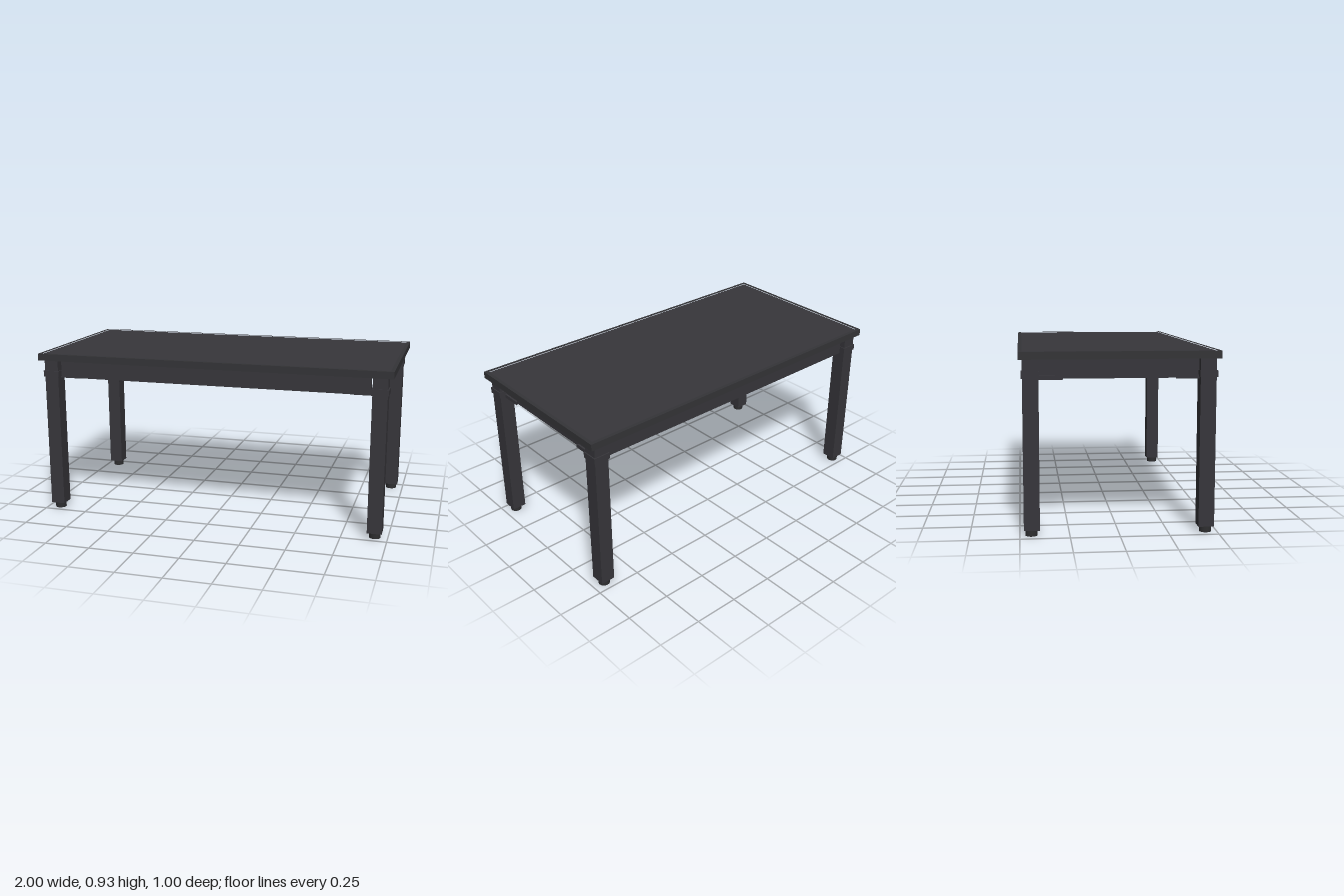
import * as THREE from 'three';

export function createModel() {
  const table = new THREE.Group();
  table.name = 'table';
  const charcoal = new THREE.MeshStandardMaterial({ color: 0x37363b });
  charcoal.name = 'charcoal';
  const edging = new THREE.MeshStandardMaterial({ color: 0x343437 });
  edging.name = 'dark edging';
  const rubber = new THREE.MeshStandardMaterial({ color: 0x2e2e30 });
  rubber.name = 'dark rubber';

  const add = (name, geometry, material, parent = table) => {
    const mesh = new THREE.Mesh(geometry, material);
    mesh.name = name;
    parent.add(mesh);
    return mesh;
  };
  // Box given by its limits on each axis
  const box = (name, [x0, x1], [y0, y1], [z0, z1], material = charcoal, parent = table) =>
    add(name, new THREE.BoxGeometry(x1 - x0, y1 - y0, z1 - z0), material, parent)
      .position.set((x0 + x1) / 2, (y0 + y1) / 2, (z0 + z1) / 2);
  // Flat horizontal plate from an outline in x and z
  const plate = (name, outline, y, height, material, hole, parent = table) => {
    const shape = new THREE.Shape(outline.map(([x, z]) => new THREE.Vector2(x, -z)));
    if (hole) shape.holes.push(new THREE.Path(hole.map(([x, z]) => new THREE.Vector2(x, -z))));
    const geometry = new THREE.ExtrudeGeometry(shape, { depth: height, bevelEnabled: false });
    geometry.rotateX(-Math.PI / 2).translate(0, y, 0);
    return add(name, geometry, material, parent);
  };
  const rectangle = (x, z) => [[-x, -z], [x, -z], [x, z], [-x, z]];

  // Table top: panel inside a narrow edge frame
  box('topPanel', [-0.98, 0.98], [0.887, 0.922], [-0.48, 0.48]);
  plate('topEdging', rectangle(1, 0.5), 0.887, 0.038, edging, rectangle(0.98, 0.48));

  // Aprons under the top
  for (const s of [-1, 1]) {
    const span = (a, b) => (s > 0 ? [a, b] : [-b, -a]);
    box('longApron', [-0.88, 0.88], [0.787, 0.887], span(0.425, 0.455));
    box('endApron', span(0.9, 0.93), [0.787, 0.887], [-0.4, 0.4]);
    // Low cross rails beneath the panel
    box('crossRail', span(0.53, 0.59), [0.857, 0.887], [-0.425, 0.425]);
  }

  // Four corners: leg, collar, foot and corner brace
  for (const sx of [-1, 1]) {
    for (const sz of [-1, 1]) {
      const corner = new THREE.Group();
      corner.name = 'legCorner';
      table.add(corner);
      const spanX = (a, b) => (sx > 0 ? [a, b] : [-b, -a]);
      const spanZ = (a, b) => (sz > 0 ? [a, b] : [-b, -a]);
      box('leg', spanX(0.89, 0.97), [0.032, 0.887], spanZ(0.4, 0.48), charcoal, corner);
      box('collar', spanX(0.884, 0.976), [0.793, 0.826], spanZ(0.396, 0.486), charcoal, corner);
      add('foot', new THREE.CylinderGeometry(0.031, 0.031, 0.034, 32), rubber, corner)
        .position.set(sx * 0.93, 0.017, sz * 0.442);
      plate('cornerBrace', [[0.94, 0.28], [0.94, 0.445], [0.77, 0.445]].map(([x, z]) => [x * sx, z * sz]),
        0.783, 0.02, charcoal, null, corner);
    }
  }
  return table;
}
